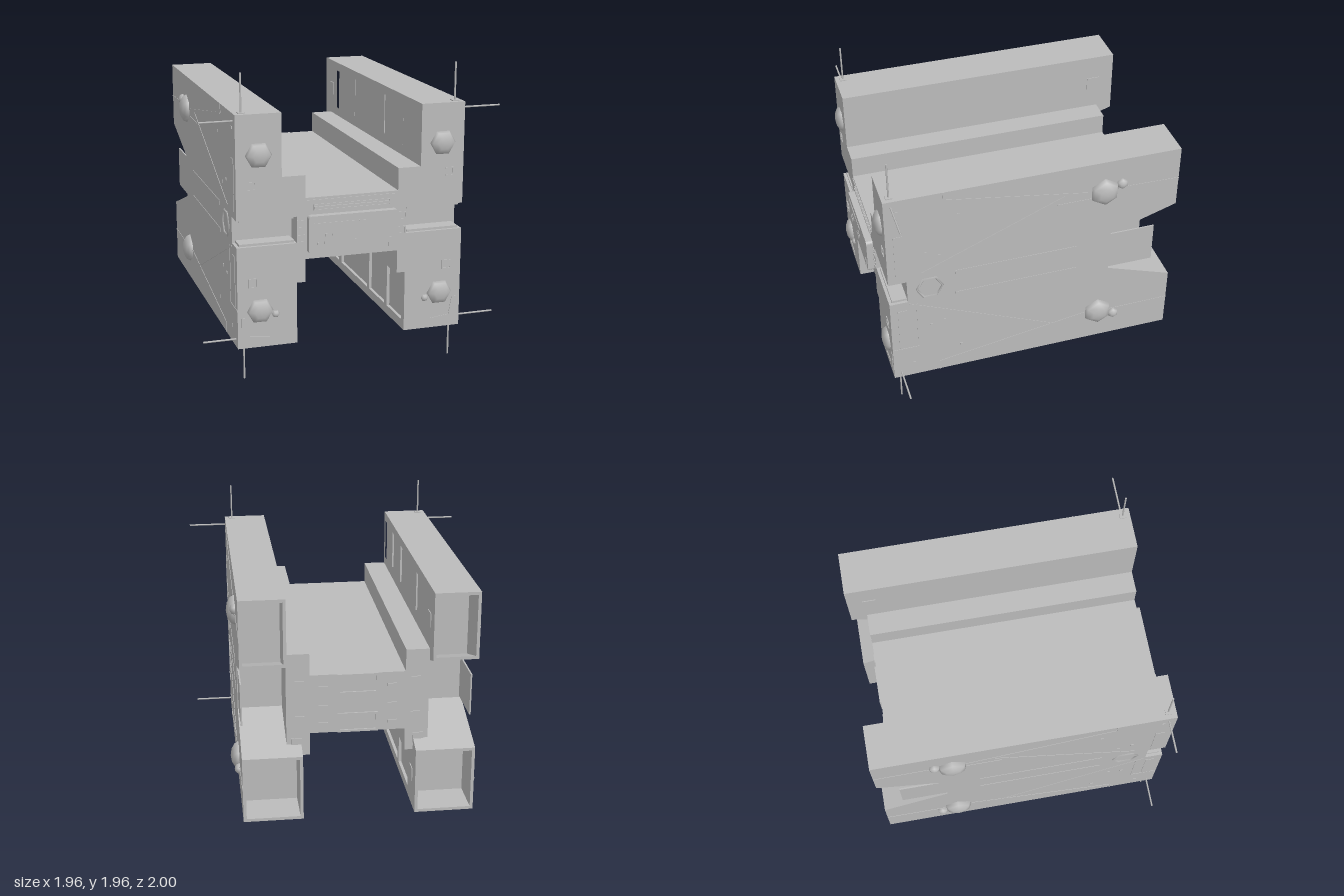
import * as THREE from 'three';

const hull = new THREE.MeshStandardMaterial({ color: 0xbbbbbb });
hull.name = 'hull grey';

export function createModel() {
  const model = new THREE.Group();
  model.name = 'spacecraft';
  model.position.x = -0.025;

  const add = (name, geo, x = 0, y = 0, z = 0) => {
    const m = new THREE.Mesh(geo, hull);
    m.name = name;
    m.position.set(x, y, z);
    model.add(m);
    return m;
  };
  const box = (name, x0, x1, y0, y1, z0, z1) =>
    add(name, new THREE.BoxGeometry(x1 - x0, y1 - y0, z1 - z0), (x0 + x1) / 2, (y0 + y1) / 2, (z0 + z1) / 2);
  const poly = (pts, C = THREE.Shape) => new C(pts.map(p => new THREE.Vector2(p[0], p[1])));
  const rect = (a, b, c, d) => [[a, c], [b, c], [b, d], [a, d]];

  // Extrudes an (x, y) outline from z0 to z1
  const extrudeZ = (name, pts, z0, z1, holes = []) => {
    const s = poly(pts);
    s.holes = holes.map(h => poly(h, THREE.Path));
    const g = new THREE.ExtrudeGeometry(s, { depth: z1 - z0, bevelEnabled: false });
    return add(name, g, 0, 0, z0);
  };
  // Extrudes a (z, y) outline sideways between two x values
  const extrudeX = (name, pts, xa, xb, holes = []) => {
    const flip = p => [-p[0], p[1]];
    const s = poly(pts.map(flip));
    s.holes = holes.map(h => poly(h.map(flip), THREE.Path));
    const g = new THREE.ExtrudeGeometry(s, { depth: Math.abs(xb - xa), bevelEnabled: false });
    g.rotateY(Math.PI / 2);
    return add(name, g, Math.min(xa, xb));
  };

  // Central core, with recesses in the front layer
  const mirror = half => [...half, ...half.map(([x, y]) => [-x, y]).reverse()];
  const top = [[0.305, 1.165], [0.305, 1.31], [0.455, 1.31]];
  const bottom = [[0.455, 0.62], [0.305, 0.62], [0.305, 0.77]];
  extrudeZ('core', mirror([...top, ...bottom]), -0.89, 0.83);
  const recess = [[0.455, 1.05], [0.36, 1.05], [0.36, 0.88], [0.455, 0.88]];
  extrudeZ('coreFront', mirror([...top, ...recess, ...bottom]), 0.83, 0.95);

  // Half of a side wing; the hollow form leaves the rear arm open
  const upperHalf = hollow => [[0.83, 0.965], [0.83, 1.05], [0.95, 1.05], [0.95, 1.71], [-1, 1.71],
    ...(hollow ? [[-1, 1.69], [-0.75, 1.69], [-0.75, 1.21], [-1, 1.29]] : []),
    [-1, 1.27], [-0.55, 1.12], [-0.55, 0.965]];
  const lowerHalf = hollow => [[0.83, 0.965], [0.83, 0.88], [0.95, 0.88], [0.95, 0.22], [-1, 0.22],
    ...(hollow ? [[-1, 0.24], [-0.75, 0.24], [-0.75, 0.72], [-1, 0.64]] : []),
    [-1, 0.66], [-0.55, 0.82], [-0.55, 0.965]];
  const bays = [[0.63, 0.9], [0.28, 0.58], [-0.33, 0.24], [-0.74, -0.38]];

  // Flat line on a wing's outer face from (z1, y1) to (z2, y2)
  const line = (s, z1, y1, z2, y2, w = 0.009) => {
    const dz = z2 - z1, dy = y2 - y1;
    const m = add('panelLine', new THREE.BoxGeometry(0.006, w, Math.hypot(dz, dy)),
      s * 0.745, (y1 + y2) / 2, (z1 + z2) / 2);
    m.rotation.x = -Math.atan2(dy, dz);
  };
  // Flattened dome whose pole points along the given axis
  const dome = (name, r, h, x, y, z, axis) => {
    const g = new THREE.SphereGeometry(1, 6, 6);
    g.scale(r, h, r);
    if (axis === 'x') g.rotateZ(-Math.PI / 2);
    else g.rotateX(Math.PI / 2);
    add(name, g, x, y, z);
  };
  // Thin rectangular outline on the front face
  const frontFrame = (x, y, w, h, z = 0.95) => {
    const t = 0.006;
    extrudeZ('frontFrame', rect(x - w / 2, x + w / 2, y - h / 2, y + h / 2), z, z + 0.005,
      [rect(x - w / 2 + t, x + w / 2 - t, y - h / 2 + t, y + h / 2 - t)]);
  };

  for (const s of [-1, 1]) {
    // Wings: outer skin, filling, inner skin with recessed bays
    for (const [half, inner, y0, y1, sq] of [[upperHalf, 0.455, 1.37, 1.65, 1.5], [lowerHalf, 0.36, 0.28, 0.56, 0.44]]) {
      extrudeX('wingOuterSkin', half(false), s * 0.725, s * 0.745);
      extrudeX('wingFilling', half(true), s * (inner + 0.02), s * 0.725);
      extrudeX('wingInnerSkin', half(false), s * inner, s * (inner + 0.02),
        bays.map(([a, b]) => rect(a, b, y0, y1)));
      extrudeX('innerHatch', rect(-0.9, -0.81, sq - 0.045, sq + 0.045), s * (inner - 0.005), s * inner,
        [rect(-0.88, -0.83, sq - 0.025, sq + 0.025)]);
    }

    // Fins standing in the rear notches
    box('rearFin', s * 0.735 - 0.005, s * 0.735 + 0.005, 0.83, 1.11, -0.86, -0.54);

    // Ledges around the front recesses
    box('recessLedge', s * 0.55 - 0.175, s * 0.55 + 0.175, 1.035, 1.05, 0.83, 0.93);
    box('recessLedge', s * 0.55 - 0.175, s * 0.55 + 0.175, 0.88, 0.895, 0.83, 0.93);

    // Turret domes on the sides and front
    for (const [y, up] of [[1.48, 1], [0.45, -1]]) {
      dome('sideTurret', 0.1, 0.055, s * 0.745, y, -0.49, 'x');
      dome('sideTurretLobe', 0.038, 0.03, s * 0.75, y + up * 0.045, -0.605, 'x');
      dome('frontTurret', 0.085, 0.042, s * 0.6, up > 0 ? 1.455 : 0.46, 0.95, 'z');
    }
    dome('frontTurretLobe', 0.025, 0.02, s * 0.5, 0.43, 0.95, 'z');

    // Hexagonal side port
    const ring = new THREE.TorusGeometry(0.085, 0.009, 4, 6);
    ring.rotateY(Math.PI / 2);
    add('hexPort', ring, s * 0.745, 0.97, 0.68);

    // Side slots and panel lines
    line(s, 0.51, 1.055, -0.32, 1.055, 0.03);
    line(s, 0.51, 0.872, -0.32, 0.872, 0.03);
    line(s, 0.87, 1.1, 0.87, 1.43, 0.06);
    line(s, 0.87, 0.48, 0.87, 0.81, 0.06);
    [[0.73, 1.1, -0.22, 1.5], [0.57, 1.65, -0.4, 1.49], [0.57, 1.65, 0.57, 1.71], [-0.17, 1.44, -0.4, 1.44],
      [-0.58, 1.49, -1, 1.48], [0.82, 0.86, -0.16, 0.42], [0.63, 0.29, -0.4, 0.455], [0.63, 0.22, 0.63, 0.29],
      [-0.58, 0.44, -1, 0.445], [0.77, 0.85, 0.77, 0.48], [0.77, 0.47, 0.95, 0.47]]
      .forEach(l => line(s, ...l));
    for (const [z, y] of [[0.87, 1.62], [0.48, 1.52], [0.7, 1.26], [0.61, 1.22], [0.68, 0.64], [0.59, 0.66], [0.48, 0.41], [0.81, 0.33]])
      box('sideRivet', s * 0.745 - 0.004, s * 0.745 + 0.004, y - 0.009, y + 0.009, z - 0.009, z + 0.009);

    // Front hatches
    frontFrame(s * 0.335, 1.0, 0.05, 0.05);
    frontFrame(s * 0.335, 0.905, 0.05, 0.05);
    frontFrame(s * 0.65, 1.265, 0.055, 0.055);
    frontFrame(s * 0.645, 0.645, 0.06, 0.06);
    extrudeZ('cornerPlate', [[0.54, 0.26], [0.72, 0.26], [0.72, 0.42], [0.69, 0.42], [0.67, 0.3], [0.54, 0.285]]
      .map(([x, y]) => [s * x, y]), 0.95, 0.954);

    // Antennas with small feet
    const rod = (x, y, len, turn) => {
      const m = add('antenna', new THREE.CylinderGeometry(0.006, 0.006, len, 6), x, y, 0.9);
      if (turn) m.rotation.z = Math.PI / 2;
    };
    rod(s * 0.695, 1.83, 0.25);
    rod(s * 0.695, 0.115, 0.23);
    for (const y of [1.665, 0.27]) {
      const tip = s * 0.98 + 0.025;
      rod((tip + s * 0.74) / 2, y, Math.abs(tip - s * 0.74), true);
    }
    box('antennaFoot', s * 0.695 - 0.022, s * 0.695 + 0.022, 1.71, 1.716, 0.878, 0.922);
  }

  // Front control panel with rounded corners
  const panel = new THREE.Shape();
  const px = 0.295, y0 = 0.81, y1 = 1.055, r = 0.02;
  panel.absarc(px - r, y1 - r, r, 0, Math.PI / 2);
  panel.absarc(-px + r, y1 - r, r, Math.PI / 2, Math.PI);
  panel.absarc(-px + r, y0 + r, r, Math.PI, Math.PI * 1.5);
  panel.absarc(px - r, y0 + r, r, Math.PI * 1.5, Math.PI * 2);
  add('frontPanel', new THREE.ExtrudeGeometry(panel, { depth: 0.045, bevelEnabled: false, curveSegments: 4 }), 0, 0, 0.95);
  box('panelSlit', -0.265, 0.015, 0.998, 1.01, 0.99, 0.999);
  box('panelSlit', 0.03, 0.08, 0.998, 1.01, 0.99, 0.999);
  box('panelLatch', 0.23, 0.25, 0.82, 0.88, 0.99, 0.999);
  for (const [x, y] of [[-0.18, 0.93], [-0.135, 0.93], [0.015, 0.93], [0.055, 0.93], [-0.235, 0.88], [-0.19, 0.88], [-0.04, 0.88], [0.005, 0.88]])
    box('panelButton', x - 0.008, x + 0.008, y - 0.008, y + 0.008, 0.99, 0.999);
  frontFrame(0, 1.1, 0.51, 0.04);
  box('frontGrille', -0.25, 0.25, 1.09, 1.105, 0.95, 0.958);
  box('frontRail', -0.305, 0.305, 1.145, 1.15, 0.95, 0.955);

  // Rear plates and slots
  for (const [a, b] of [[1.03, 1.165], [0.77, 0.9]]) {
    extrudeZ('rearFrame', rect(-0.13, 0.13, a, b), -0.9, -0.89, [rect(-0.115, 0.115, a + 0.015, b - 0.015)]);
  }
  for (const s of [-1, 1]) {
    for (const [x, y] of [[0.22, 1.08], [0.37, 1.12], [0.22, 0.95], [0.37, 0.88], [0.22, 0.83]])
      box('rearSlot', s * x - 0.03, s * x + 0.03, y - 0.01, y + 0.01, -0.898, -0.889);
    box('rearHatch', s * 0.39 - 0.035, s * 0.39 + 0.035, 0.67, 0.74, -0.897, -0.889);
  }

  // Equipment hanging under the core
  box('leftPylon', 0.125, 0.205, 0.66, 0.78, 0, 0.22);
  extrudeZ('bentArm', [[0.205, 0.78], [0.235, 0.78], [0.235, 0.59], [0.145, 0.53], [0.12, 0.54], [0.205, 0.6]], 0.06, 0.16);
  box('rightPylon', -0.205, -0.11, 0.65, 0.78, 0, 0.22);
  box('rightArm', -0.24, -0.205, 0.59, 0.78, 0.06, 0.16);

  return model;
}
